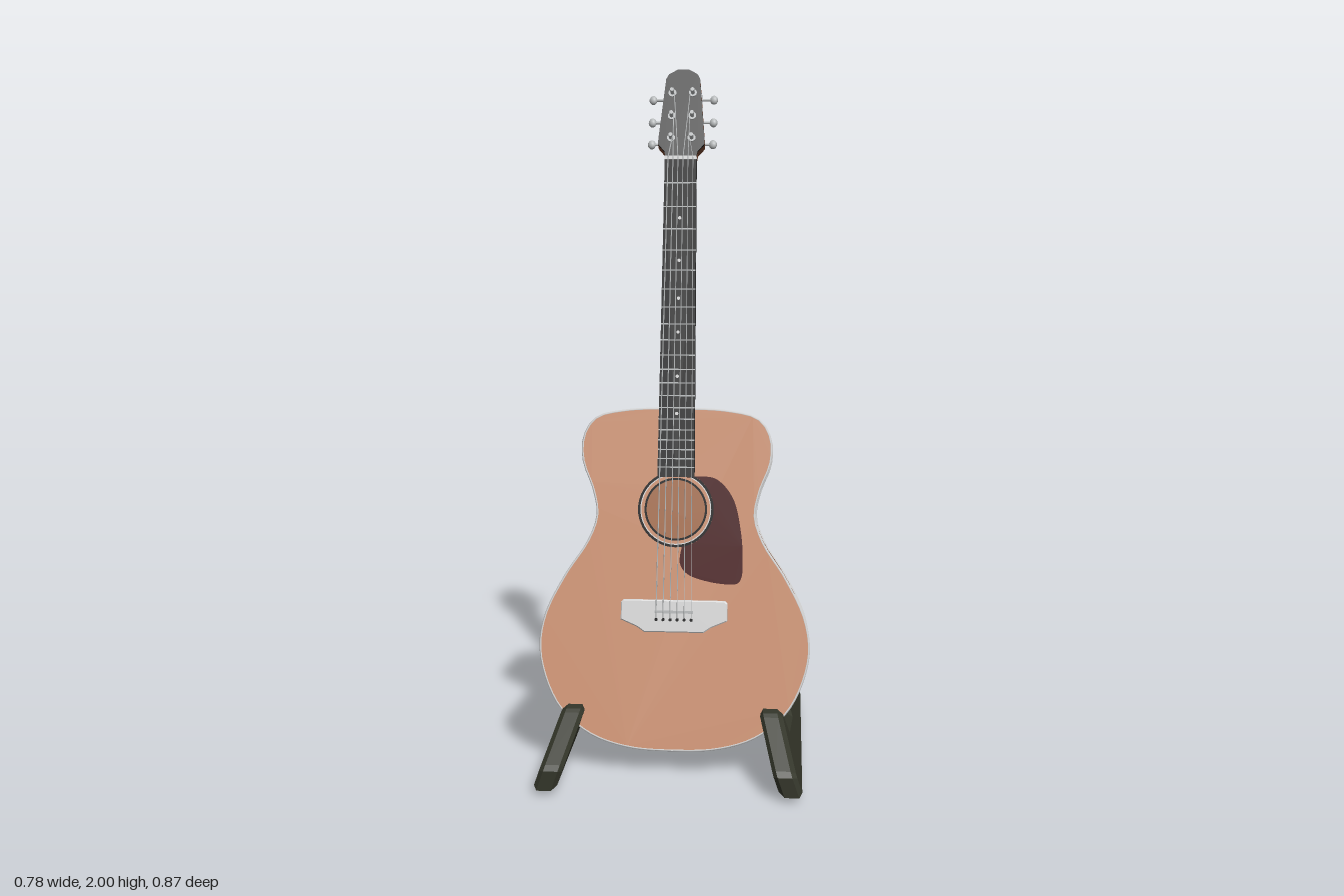
import * as THREE from 'three';

const mat = (name, color, side = THREE.FrontSide) => {
  const m = new THREE.MeshStandardMaterial({ color, side });
  m.name = name;
  return m;
};
const M = {
  spruce: mat('spruce top', 0xcf9474),
  wood: mat('mahogany', 0x74452f),
  inside: mat('inner wood', 0xa8704f),
  black: mat('ebony', 0x0c0c0d),
  red: mat('dark red', 0x480d10, THREE.DoubleSide),
  white: mat('ivory', 0xdadada),
  silver: mat('silver', 0xb4b7b8),
  stand: mat('olive black', 0x34362a),
};

function add(parent, name, geometry, material, x = 0, y = 0, z = 0) {
  const mesh = new THREE.Mesh(geometry, material);
  mesh.name = name;
  mesh.position.set(x, y, z);
  parent.add(mesh);
  return mesh;
}
const box = (w, h, d) => new THREE.BoxGeometry(w, h, d);
const v2 = ([x, y]) => new THREE.Vector2(x, y);
const extrude = (shape, depth, bevel = 0) => new THREE.ExtrudeGeometry(shape, {
  depth, curveSegments: 32, bevelEnabled: bevel > 0, bevelSize: bevel, bevelThickness: bevel, bevelOffset: -bevel, bevelSegments: 1,
});
// closed shape from its right half, listed bottom to top
const mirrored = (half) => new THREE.Shape([...half, ...half.filter(p => p[0] > 0).reverse().map(([x, y]) => [-x, y])].map(v2));
// thin rod between two points
function rod(parent, name, a, b, r, material, sides = 6) {
  const d = b.clone().sub(a);
  const m = add(parent, name, new THREE.CylinderGeometry(r, r, d.length(), sides), material);
  m.position.copy(a).add(b).multiplyScalar(0.5);
  m.quaternion.setFromUnitVectors(new THREE.Vector3(0, 1, 0), d.normalize());
  return m;
}
const P = (x, y, z) => new THREE.Vector3(x, y, z);

const DEPTH = 0.182, NUT = 1.70, SADDLE = 0.392, HOLE = 0.684;

function buildBody(g) {
  const half = [[0, 0], [0.13, 0.008], [0.24, 0.045], [0.33, 0.125], [0.382, 0.265], [0.372, 0.37], [0.315, 0.49], [0.25, 0.59],
    [0.225, 0.665], [0.238, 0.74], [0.268, 0.82], [0.268, 0.89], [0.235, 0.943], [0.15, 0.966], [0, 0.972]];
  const loop = [...half, ...half.slice(1, -1).reverse().map(([x, y]) => [-x, y])];
  const curve = new THREE.CatmullRomCurve3(loop.map(([x, y]) => P(x, y, 0)), true);
  const pts = curve.getPoints(112).slice(0, -1).map(p => new THREE.Vector2(p.x, p.y));

  // hollow sides, back and top with a sound hole
  const ribs = new THREE.Shape(pts);
  ribs.holes.push(new THREE.Path(pts.map(p => new THREE.Vector2(p.x * 0.97, 0.49 + (p.y - 0.49) * 0.97))));
  add(g, 'bodySides', extrude(ribs, DEPTH - 0.012), M.wood, 0, 0, -DEPTH + 0.006);
  add(g, 'bodyBack', extrude(new THREE.Shape(pts), 0.006), M.wood, 0, 0, -DEPTH);
  const top = new THREE.Shape(pts);
  const hole = new THREE.Path();
  hole.absarc(0, HOLE, 0.085, 0, Math.PI * 2, true);
  top.holes.push(hole);
  add(g, 'soundboard', extrude(top, 0.006), M.spruce, 0, 0, -0.006);
  add(g, 'innerBack', new THREE.CircleGeometry(0.2, 32), M.inside, 0, HOLE - 0.02, -DEPTH + 0.008);

  // edge binding and back seam
  for (const z of [-0.003, -DEPTH + 0.003])
    add(g, 'binding', new THREE.TubeGeometry(curve, 112, 0.0042, 5, true), M.white, 0, 0, z);
  add(g, 'backSeam', box(0.006, 0.968, 0.003), M.white, 0, 0.486, -DEPTH - 0.001);
  add(g, 'tailSeam', box(0.006, 0.003, DEPTH), M.white, 0, -0.001, -DEPTH / 2);

  // rosette rings
  [[0.084, 0.09, M.black], [0.09, 0.099, M.spruce], [0.099, 0.102, M.white], [0.102, 0.109, M.black]]
    .forEach(([a, b, m]) => add(g, 'rosette', new THREE.RingGeometry(a, b, 48), m, 0, HOLE, 0.003));

  // pickguard wrapping the rosette
  const guard = new THREE.Shape();
  guard.moveTo(0.054, HOLE + 0.094);
  guard.splineThru([[0.115, 0.772], [0.165, 0.715], [0.188, 0.62], [0.194, 0.53], [0.188, 0.485], [0.165, 0.472], [0.1, 0.478],
    [0.04, 0.497], [0.014, 0.53], [0.019, HOLE - 0.107]].map(v2));
  guard.absarc(0, HOLE, 0.109, -1.4, 1.05, false);
  add(g, 'pickguard', new THREE.ShapeGeometry(guard, 24), M.red, 0, 0, 0.0035);

  // bridge, saddle and pins
  const bridge = mirrored([[0, 0.334], [0.085, 0.334], [0.105, 0.348], [0.152, 0.368], [0.152, 0.418], [0.145, 0.425], [0, 0.425]]);
  add(g, 'bridge', extrude(bridge, 0.016, 0.003), M.white);
  add(g, 'saddle', box(0.11, 0.007, 0.01), M.silver, 0, SADDLE, 0.022);
  for (let i = 0; i < 6; i++) {
    const pin = add(g, 'bridgePin', new THREE.CylinderGeometry(0.0045, 0.0045, 0.012, 8), M.black, (i - 2.5) * 0.02, 0.37, 0.021);
    pin.rotation.x = Math.PI / 2;
  }
}

function buildNeck(g) {
  const end = 0.776;
  const halfWidth = v => 0.046 + 0.007 * (NUT - v) / (NUT - end);
  add(g, 'fretboard', extrude(mirrored([[0, end], [halfWidth(end), end], [halfWidth(NUT), NUT], [0, NUT]]), 0.02), M.black);
  const neck = add(g, 'neck', new THREE.CylinderGeometry(0.046, 0.051, NUT - 0.95, 16, 1, false, Math.PI / 2, Math.PI), M.wood, 0, (NUT + 0.95) / 2, 0.001);
  neck.scale.z = 0.75;

  // heel wedge
  const heel = extrude(new THREE.Shape([[0, 0.95], [0, 1.075], [-0.03, 1.06], [-0.155, 1.008], [-0.172, 0.985], [-0.172, 0.95]].map(v2)), 0.054, 0.006);
  heel.rotateY(-Math.PI / 2);
  add(g, 'heel', heel, M.wood, 0.027, 0, 0);

  for (let i = 1; i <= 20; i++) {
    const v = NUT - (NUT - SADDLE) * (1 - Math.pow(2, -i / 12));
    add(g, 'fret', box(halfWidth(v) * 2, 0.0035, 0.003), M.silver, 0, v, 0.0205);
  }
  // position dots
  for (const i of [3, 5, 7, 9, 12, 15]) {
    const v = NUT - (NUT - SADDLE) * (1 - Math.pow(2, -(i - 0.5) / 12));
    add(g, 'fretMarker', new THREE.CircleGeometry(0.005, 10), M.white, 0, v, 0.0208);
  }
  add(g, 'nut', box(0.092, 0.01, 0.026), M.white, 0, NUT, 0.012);
}

function buildHead(g) {
  const head = new THREE.Group();
  head.name = 'headstock';
  head.position.set(0, NUT, 0);
  head.rotation.x = -0.2;
  g.add(head);
  const outline = mirrored([[0, -0.005], [0.044, -0.005], [0.048, 0.018], [0.068, 0.042], [0.067, 0.06], [0.05, 0.25], [0.042, 0.265], [0.016, 0.28], [0, 0.28]]);
  add(head, 'headBack', extrude(outline, 0.03), M.wood, 0, 0, -0.022);
  add(head, 'headFace', extrude(outline, 0.007), M.black, 0, 0, 0.008);

  // tuning machines, three on each side
  const heights = [0.06, 0.13, 0.203];
  for (const s of [-1, 1]) heights.forEach((h, i) => {
    rod(head, 'tunerPost', P(s * 0.03, h, 0.01), P(s * 0.03, h, 0.042), 0.006, M.silver, 10);
    rod(head, 'tunerBushing', P(s * 0.03, h, 0.014), P(s * 0.03, h, 0.019), 0.012, M.silver, 10);
    add(head, 'tunerGear', box(0.034, 0.026, 0.016), M.silver, s * 0.038, h, -0.029);
    rod(head, 'tunerShaft', P(s * 0.04, h, -0.03), P(s * 0.085, h, -0.03), 0.004, M.silver, 8);
    const button = add(head, 'tunerButton', new THREE.SphereGeometry(0.014, 10, 8), M.silver, s * 0.09, h, -0.03);
    button.scale.set(0.85, 1, 0.65);
  });

  // strings from the bridge over the nut to the posts
  head.updateMatrix();
  for (let i = 0; i < 6; i++) {
    const k = i - 2.5, s = Math.sign(k), r = 0.0018 - i * 0.00015;
    const nut = P(k * 0.0145, NUT, 0.026), saddle = P(k * 0.02, SADDLE, 0.028);
    const post = P(s * 0.024, heights[Math.round(Math.abs(k) === 2.5 ? 0 : Math.abs(k) === 1.5 ? 1 : 2)], 0.034).applyMatrix4(head.matrix);
    rod(g, 'string', saddle, nut, r, M.silver);
    rod(g, 'string', nut, post, r, M.silver);
    rod(g, 'string', P(k * 0.02, 0.37, 0.022), saddle, r, M.silver);
  }
}

function buildStand(g) {
  // side plate profile as [z, y]
  const profile = [[0.415, 0.014], [0.415, 0.07], [0.405, 0.085], [0.272, 0.188], [0.26, 0.196], [0.222, 0.196], [0.212, 0.138], [0.03, 0.115],
    [-0.02, 0.18], [-0.04, 0.19], [-0.035, 0.375], [-0.045, 0.44], [-0.085, 0.72], [-0.105, 0.75], [-0.195, 0.75], [-0.22, 0.7], [-0.225, 0.66],
    [-0.215, 0.61], [-0.19, 0.575], [-0.23, 0.51], [-0.233, 0.43], [-0.193, 0.375], [-0.212, 0.15], [-0.235, 0.136],
    [-0.375, 0.112], [-0.42, 0.075], [-0.42, 0.025], [-0.41, 0.014]];
  const leanX = y => 0.345 - 0.345 * y;
  for (const s of [-1, 1]) {
    const geo = extrude(new THREE.Shape(profile.map(v2)), 0.04, 0.012);
    geo.rotateY(-Math.PI / 2).translate(0.02, 0, 0);
    const p = geo.attributes.position; // lean the plate inwards
    for (let i = 0; i < p.count; i++) p.setX(i, p.getX(i) + s * leanX(p.getY(i)));
    geo.computeVertexNormals();
    add(g, 'standSide', geo, M.stand);
    for (const z of [0.34, -0.35])
      add(g, 'standFoot', new THREE.CylinderGeometry(0.018, 0.018, 0.018, 10), M.stand, s * 0.34, 0.009, z);
  }
  // cross panel between the uprights
  const panel = mirrored([[0, 0.1], [leanX(0.1), 0.1], [leanX(0.36), 0.36], [0, 0.36]]);
  add(g, 'standPanel', extrude(panel, 0.035), M.stand, 0, 0, -0.15);
}

export function createModel() {
  const root = new THREE.Group();
  root.name = 'guitarOnStand';
  const turned = new THREE.Group();
  turned.name = 'turnedAssembly';
  turned.rotation.y = 0.05;
  root.add(turned);

  const guitar = new THREE.Group();
  guitar.name = 'guitar';
  guitar.position.set(0, 0.07, 0.232);
  guitar.rotation.x = -0.203;
  turned.add(guitar);
  buildBody(guitar);
  buildNeck(guitar);
  buildHead(guitar);

  const stand = new THREE.Group();
  stand.name = 'stand';
  turned.add(stand);
  buildStand(stand);
  return root;
}
